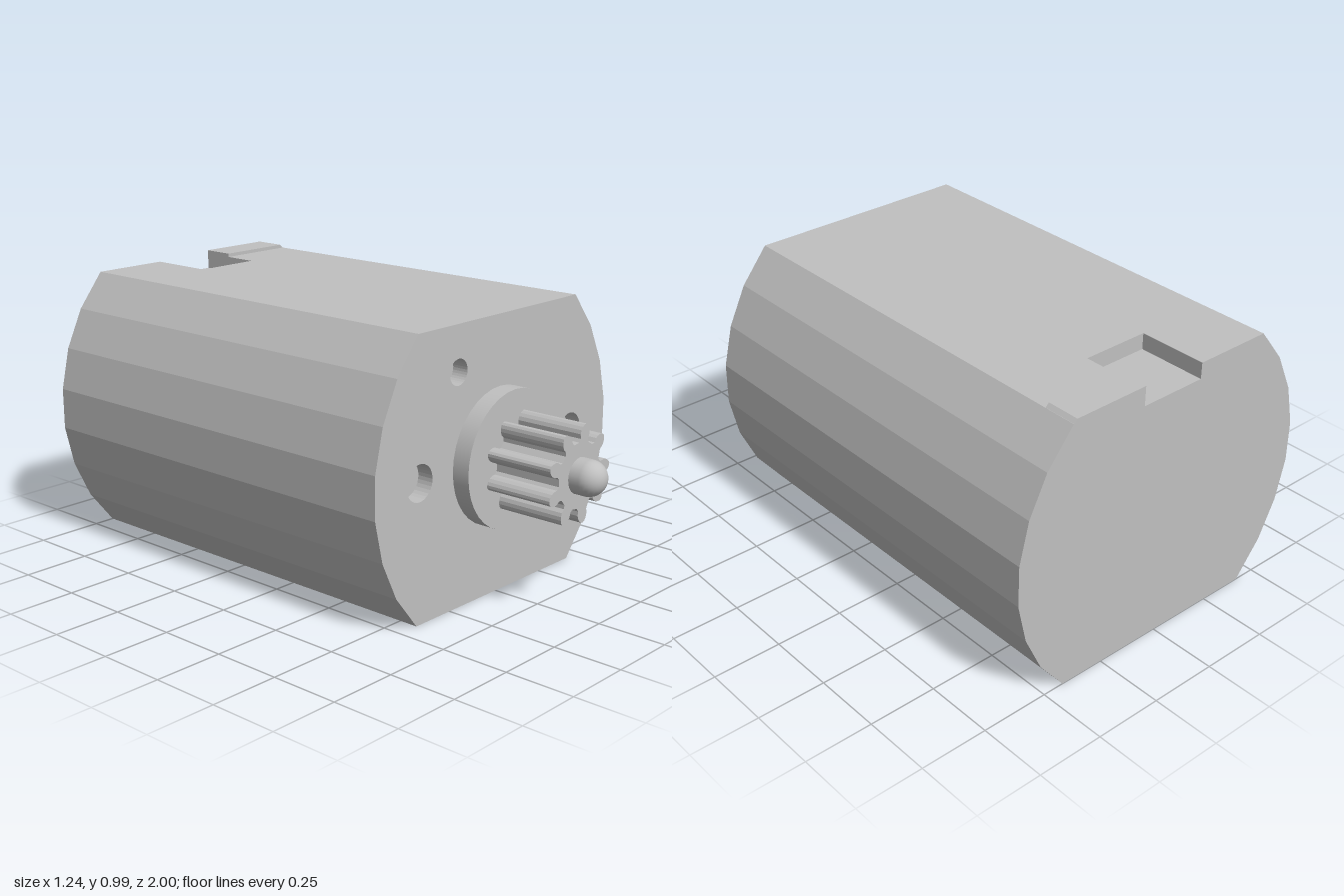
import * as THREE from 'three';

const CY = 0.49; // height of the shaft axis

export function createModel() {
  const group = new THREE.Group();
  const grey = new THREE.MeshStandardMaterial({ color: 0xc0c0c0 });
  grey.name = 'motorGrey';

  const add = (name, geometry, x = 0, y = 0, z = 0) => {
    const mesh = new THREE.Mesh(geometry, grey);
    mesh.name = name;
    mesh.position.set(x, y, z);
    group.add(mesh);
    return mesh;
  };
  const slab = (name, shape, z0, z1) =>
    add(name, new THREE.ExtrudeGeometry(shape, { depth: z1 - z0, bevelEnabled: false, curveSegments: 16 }), 0, 0, z0);

  // Can outline: flat top and bottom, faceted round sides
  const side = [[0.42, 0], [0.52, 0.125], [0.587, 0.265], [0.622, 0.415],
    [0.622, 0.565], [0.587, 0.715], [0.52, 0.855], [0.42, 0.98]];
  const left = side.map(([x, y]) => [-x, y]).reverse();
  const outline = (top = []) =>
    new THREE.Shape([...side, ...top, ...left].map(([x, y]) => new THREE.Vector2(x, y)));

  // Front slab with blind screw and vent holes
  const face = outline();
  for (const [x, y, r] of [[-0.41, CY, 0.064], [0.41, CY, 0.064], [-0.22, 0.82, 0.045]]) {
    face.holes.push(new THREE.Path().absarc(x, y, r, 0, Math.PI * 2, true));
  }
  slab('frontFace', face, 0.51, 0.57);
  slab('can', outline(), -0.75, 0.51);

  // Rear slab with a notch in the top
  const notch = [[0.12, 0.98], [0.12, 0.922], [-0.13, 0.922], [-0.13, 0.98]];
  slab('rearCan', outline(notch), -1, -0.75);

  // Thin raised tab beside the notch
  const tab = new THREE.Shape([[0.12, 0.975], [0.424, 0.975], [0.406, 0.993], [0.12, 0.993]]
    .map(([x, y]) => new THREE.Vector2(x, y)));
  slab('rearTab', tab, -1, -0.88);

  // Bearing boss
  const boss = new THREE.CylinderGeometry(0.243, 0.243, 0.07, 36).rotateX(Math.PI / 2);
  add('bearingBoss', boss, 0, CY, 0.6);

  // Pinion gear: nine rounded teeth, each given as radius and half width
  const half = [[0.11, 0.027], [0.122, 0.021], [0.137, 0.025], [0.15, 0.023], [0.161, 0.017], [0.169, 0.009]];
  const tooth = [...half.map(([r, w]) => [r, -w]), [0.172, 0], ...half.map(([r, w]) => [r, w]).reverse()];
  const points = [];
  for (let i = 0; i < 9; i++) {
    const a = (i * Math.PI * 2) / 9;
    for (const [r, w] of tooth) {
      points.push(new THREE.Vector2(r * Math.cos(a) - w * Math.sin(a), CY + r * Math.sin(a) + w * Math.cos(a)));
    }
  }
  slab('pinionGear', new THREE.Shape(points), 0.65, 0.9);

  // Shaft with a domed end
  const shaft = new THREE.CylinderGeometry(0.062, 0.062, 0.34, 24, 1, true).rotateX(Math.PI / 2);
  add('shaft', shaft, 0, CY, 0.768);
  const dome = new THREE.SphereGeometry(0.062, 24, 8, 0, Math.PI * 2, 0, Math.PI / 2).rotateX(Math.PI / 2);
  add('shaftTip', dome, 0, CY, 0.938);

  return group;
}
